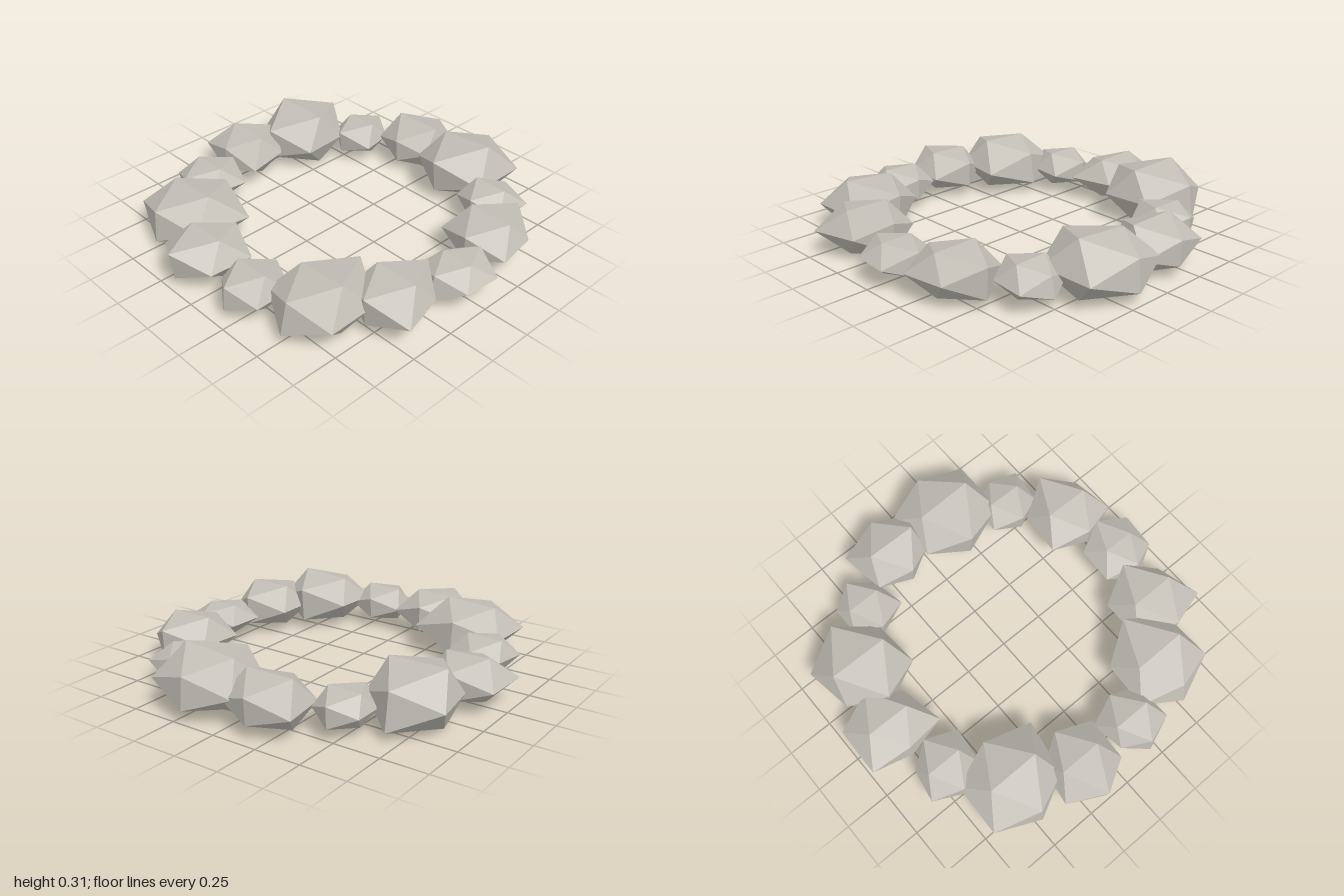
import * as THREE from 'three';

// One row per stone, clockwise from the +x side: distance of each corner from the stone's centre
// [back upper, back lower, front upper, front lower,
//  back +x, front +x, front -x, back -x, ridge +x, ridge -x]
const STONES = [
  [.207, .21, .19, .217, .201, .182, .199, .188, .16, .165],
  [.261, .247, .25, .235, .192, .27, .23, .23, .235, .23],
  [.305, .287, .245, .292, .263, .276, .258, .239, .285, .245],
  [.187, .18, .192, .207, .194, .20, .153, .184, .20, .185],
  [.223, .217, .262, .235, .236, .223, .223, .18, .22, .21],
  [.263, .287, .272, .288, .31, .255, .285, .272, .285, .255],
  [.193, .187, .196, .193, .208, .18, .188, .15, .19, .18],
  [.242, .227, .20, .207, .195, .257, .259, .252, .22, .23],
  [.297, .329, .288, .27, .243, .267, .226, .275, .30, .305],
  [.18, .177, .206, .19, .155, .199, .155, .155, .18, .17],
  [.224, .217, .214, .20, .24, .18, .223, .267, .26, .26],
  [.257, .277, .305, .28, .304, .304, .259, .289, .318, .265],
  [.155, .186, .193, .18, .203, .178, .179, .17, .175, .18],
  [.268, .257, .229, .22, .20, .243, .243, .219, .23, .235],
];
const RING_RADIUS = 0.79;
const FLATTEN = 0.6;

// Picks the corner distance belonging to an icosahedron vertex
function cornerRadius(r, v) {
  if (Math.abs(v.x) < 0.01) return r[(v.z < 0 ? 0 : 2) + (v.y > 0 ? 0 : 1)];
  if (Math.abs(v.z) < 0.01) return r[v.x > 0 ? 8 : 9] * (v.y > 0 ? 1 : 0.94);
  if (v.x > 0) return r[v.z < 0 ? 4 : 5];
  return r[v.z > 0 ? 6 : 7];
}

// Flattened icosahedron with each corner pushed in or out
function stoneGeometry(radii) {
  const geo = new THREE.IcosahedronGeometry(1, 0);
  const pos = geo.attributes.position;
  const v = new THREE.Vector3();
  for (let i = 0; i < pos.count; i++) {
    v.fromBufferAttribute(pos, i);
    v.multiplyScalar(cornerRadius(radii, v));
    pos.setXYZ(i, v.x, v.y * FLATTEN, v.z);
  }
  geo.computeVertexNormals();
  return geo;
}

export function createModel() {
  const group = new THREE.Group();
  group.name = 'stoneRing';
  const stone = new THREE.MeshStandardMaterial({ color: 0xc2beb6, flatShading: true });
  stone.name = 'stoneGrey';

  // Stones evenly spaced around the ring
  STONES.forEach((radii, i) => {
    const a = (i / STONES.length) * Math.PI * 2;
    const mean = radii.reduce((s, r) => s + r, 0) / radii.length;
    const mesh = new THREE.Mesh(stoneGeometry(radii), stone);
    mesh.name = `stone${i + 1}`;
    mesh.position.set(0.023 + Math.cos(a) * RING_RADIUS, 0.06 + 0.3 * mean, 0.006 + Math.sin(a) * RING_RADIUS);
    group.add(mesh);
  });
  return group;
}
